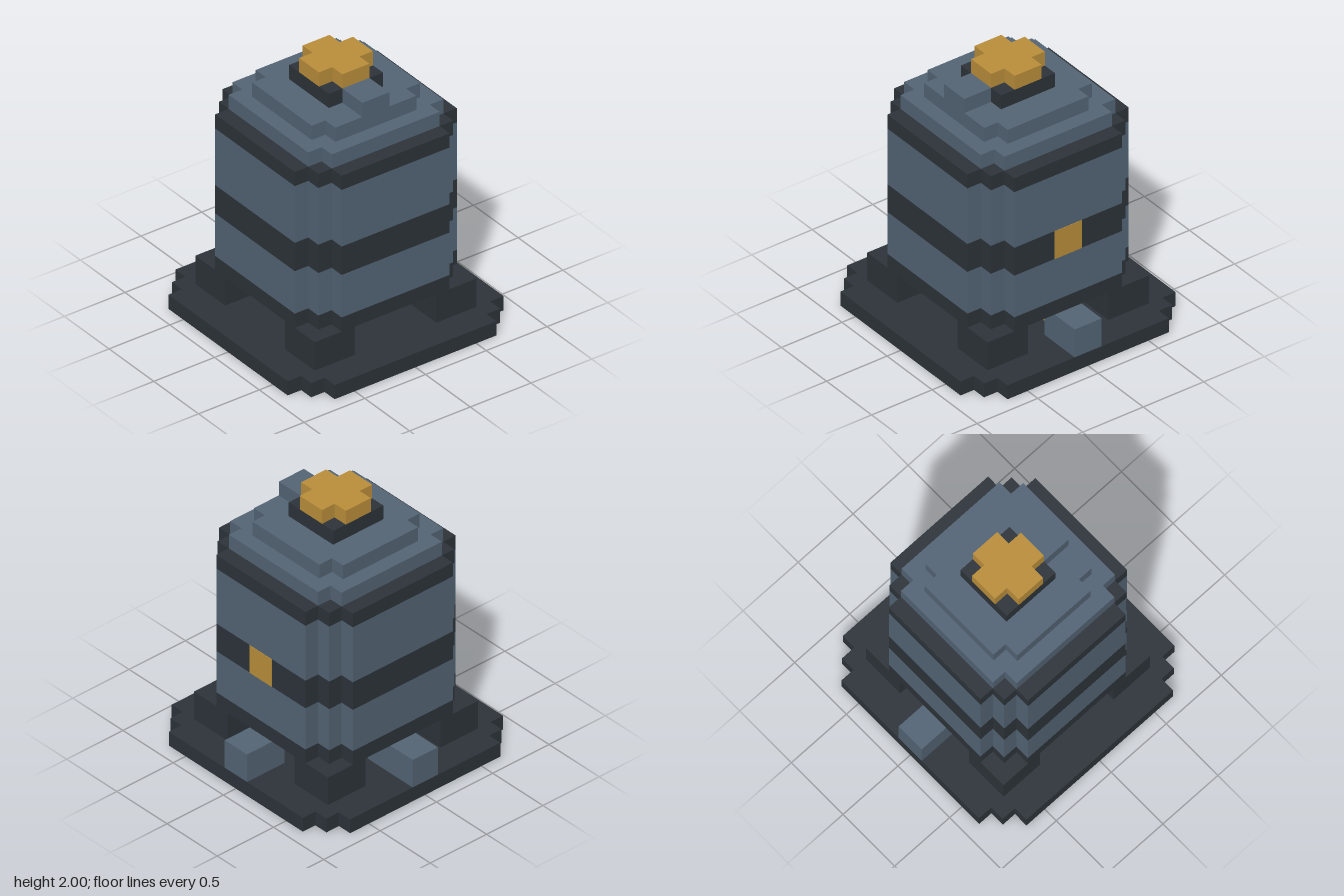
import * as THREE from 'three';

const U = 1 / 9; // one block

const mat = (name, color) => {
  const m = new THREE.MeshStandardMaterial({ color });
  m.name = name;
  return m;
};

export function createModel() {
  const steel = mat('blue grey steel', 0x546576);
  const iron = mat('dark iron', 0x2d343a);
  const brass = mat('brass', 0xbc903b);

  const model = new THREE.Group();
  model.name = 'tank';

  const add = (name, geometry, material, parent = model) => {
    const mesh = new THREE.Mesh(geometry, material);
    mesh.name = name;
    parent.add(mesh);
    return mesh;
  };

  // Box given by its block limits
  const box = (name, material, x0, x1, y0, y1, z0, z1, parent) => {
    const g = new THREE.BoxGeometry((x1 - x0) * U, (y1 - y0) * U, (z1 - z0) * U);
    g.translate((x0 + x1) * U / 2, (y0 + y1) * U / 2, (z0 + z1) * U / 2);
    return add(name, g, material, parent);
  };

  // Square slab with stepped corners; steps are [x, z] extents of one quadrant
  const slab = (name, material, steps, y0, y1, parent) => {
    const quadrant = [];
    steps.forEach(([x, z], i) => {
      if (i > 0) quadrant.push([x, steps[i - 1][1]]);
      quadrant.push([x, z]);
    });
    const pts = [];
    for (let q = 0, turn = quadrant; q < 4; q++) {
      turn.forEach(([x, z]) => pts.push(new THREE.Vector2(x * U, z * U)));
      turn = turn.map(([x, z]) => [-z, x]);
    }
    const g = new THREE.ExtrudeGeometry(new THREE.Shape(pts), {
      depth: (y1 - y0) * U, bevelEnabled: false,
    });
    g.rotateX(-Math.PI / 2).translate(0, y0 * U, 0);
    return add(name, g, material, parent);
  };

  // Base plate
  slab('basePlate', iron, [[8, 6], [7, 7], [6, 8]], 0, 1);

  // Corner feet
  for (const sx of [-1, 1]) {
    for (const sz of [-1, 1]) {
      const x = sx * 4.5, z = sz * 4.5;
      box('foot', iron, x - 1.5, x + 1.5, 1, 3, z - 1.5, z + 1.5);
    }
  }

  // Core under the tank
  box('lowerCore', iron, -3, 3, 1, 2, -3, 3);
  box('upperCore', iron, -4, 4, 2, 3, -4, 4);

  // Pipes leaving at the back and one side
  box('backPipe', steel, -1, 1, 1, 3, -8, -5);
  box('backNozzle', brass, -1, 1, 2, 3, -5, -4);
  box('sidePipe', steel, -8, -4, 1, 3, -1, 1);

  // Banded tank body
  const body = new THREE.Group();
  body.name = 'tankBody';
  model.add(body);
  const plan = [[6, 4], [5, 5], [4, 6]];
  [
    ['bottomBand', iron, 3, 4],
    ['lowerWall', steel, 4, 7],
    ['middleBand', iron, 7, 9],
    ['upperWall', steel, 9, 13],
    ['topBand', iron, 13, 14],
  ].forEach(([name, m, y0, y1]) => slab(name, m, plan, y0, y1, body));

  // Gauge window on the back band
  box('backWindow', brass, -1, 1, 7, 9, -6.03, -6);

  // Stepped lid
  slab('lidLower', steel, [[5, 4], [4, 5]], 14, 15);
  slab('lidUpper', steel, [[4, 3], [3, 4]], 15, 16);

  // Valve with its side spout and cross handle
  box('valveCollar', iron, -2, 2, 16, 17, -2, 2);
  box('valveSpout', steel, 2, 4, 16, 17, -1, 1);
  slab('valveHandle', brass, [[2, 1], [1, 2]], 17, 18);

  return model;
}
